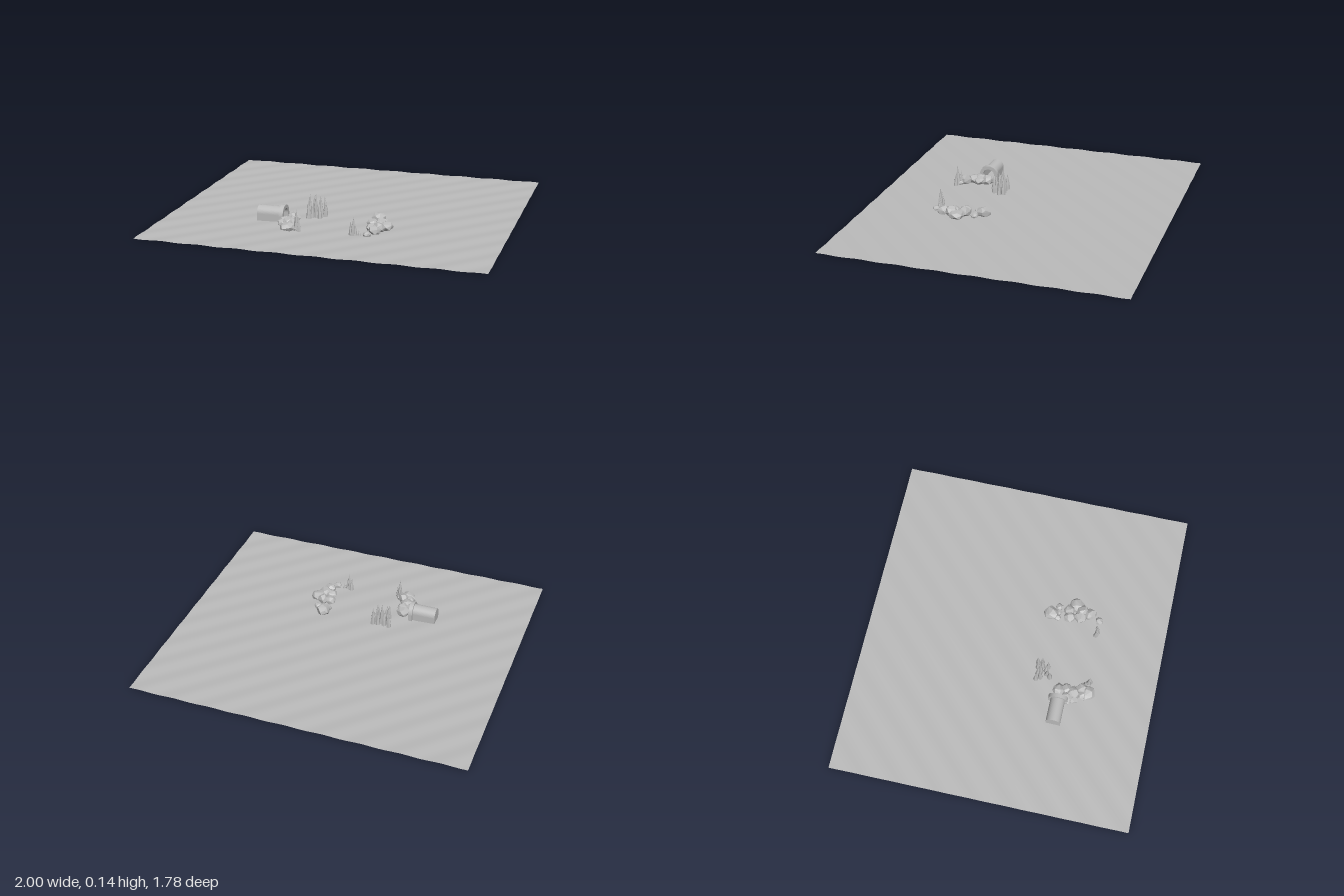
import * as THREE from 'three';
import { ConvexGeometry } from 'three/addons/geometries/ConvexGeometry.js';

const stone = new THREE.MeshStandardMaterial({ color: 0xbbbbbb, flatShading: true, side: THREE.DoubleSide });
stone.name = 'grey stone';
const smooth = new THREE.MeshStandardMaterial({ color: 0xbbbbbb, side: THREE.DoubleSide });
smooth.name = 'smooth grey';

let seed = 7;
function rand() {
  seed = (seed * 16807) % 2147483647;
  return seed / 2147483647;
}
const jitter = (a) => (rand() - 0.5) * 2 * a;

function add(parent, name, geometry, material = stone) {
  const mesh = new THREE.Mesh(geometry, material);
  mesh.name = name;
  parent.add(mesh);
  return mesh;
}

function group(parent, name) {
  const g = new THREE.Group();
  g.name = name;
  parent.add(g);
  return g;
}

// Gently rippled ground sheet
function makeGround() {
  const geo = new THREE.PlaneGeometry(2, 1.78, 72, 64);
  geo.rotateX(-Math.PI / 2);
  const p = geo.attributes.position;
  for (let i = 0; i < p.count; i++) {
    p.setY(i, 0.005 + 0.002 * Math.sin((p.getX(i) + p.getZ(i)) * 28));
  }
  geo.computeVertexNormals();
  return geo;
}

// Angular boulder, flattened where it meets the ground
function rock(parent, [x, z, r, h]) {
  const points = [];
  const n = 18;
  const turn = rand() * 6;
  for (let i = 0; i < n; i++) {
    const v = 1 - (2 * (i + 0.5)) / n;
    const a = turn + i * 2.4 + jitter(0.35);
    const s = Math.sqrt(1 - v * v) * r * (1.02 + jitter(0.1));
    const y = Math.max(0.002, h * (0.42 + 0.58 * v));
    points.push(new THREE.Vector3(Math.cos(a) * s, y, Math.sin(a) * s));
  }
  add(parent, 'rock', new ConvexGeometry(points)).position.set(x, 0, z);
}

// Leaning spike with a faceted, swollen foot
function spike(parent, [x, z, r, h]) {
  const geo = new THREE.CylinderGeometry(0.0005, r, h, 6, 3);
  geo.translate(0, h / 2, 0);
  const p = geo.attributes.position;
  const lx = jitter(0.006), lz = jitter(0.006);
  for (let i = 0; i < p.count; i++) {
    const t = p.getY(i) / h;
    const k = 1 + 0.12 * Math.sin(t * Math.PI);
    p.setXYZ(i, p.getX(i) * k + lx * t * t, p.getY(i), p.getZ(i) * k + lz * t * t);
  }
  geo.rotateY(rand() * 3);
  geo.computeVertexNormals();
  add(parent, 'spike', geo).position.set(x, 0.002, z);
}

// Arch outline: straight walls under a half-round top
function arch(path, r, spring, base) {
  path.moveTo(-r, base);
  path.lineTo(r, base);
  path.lineTo(r, spring);
  path.absarc(0, spring, r, 0, Math.PI, false);
  path.lineTo(-r, base);
  return path;
}

function archBlock(r, inner, spring, depth) {
  const shape = arch(new THREE.Shape(), r, spring, 0.002);
  if (inner) shape.holes.push(arch(new THREE.Path(), inner, spring, 0.006));
  const geo = new THREE.ExtrudeGeometry(shape, { depth, bevelEnabled: false, curveSegments: 14 });
  return geo.rotateY(Math.PI / 2);
}

export function createModel() {
  const model = new THREE.Group();
  model.name = 'riverbedScene';
  add(model, 'ground', makeGround(), smooth);

  // Culvert with its raised rim and closed far end
  const culvert = group(model, 'culvert');
  culvert.position.z = 0.332;
  add(culvert, 'tunnel', archBlock(0.043, 0.036, 0.045, 0.145), stone).position.x = -0.45;
  add(culvert, 'tunnelEnd', archBlock(0.043, 0, 0.045, 0.01), stone).position.x = -0.46;
  add(culvert, 'rim', archBlock(0.058, 0.036, 0.042, 0.024), stone).position.x = -0.32;

  // Rock banks: x, z, radius, height
  const leftBank = group(model, 'leftRocks');
  [
    [-0.285, 0.38, 0.04, 0.05], [-0.25, 0.325, 0.04, 0.058], [-0.285, 0.42, 0.032, 0.04],
    [-0.235, 0.37, 0.034, 0.052], [-0.25, 0.41, 0.042, 0.055], [-0.21, 0.455, 0.034, 0.062],
    [-0.245, 0.47, 0.034, 0.045], [-0.23, 0.495, 0.044, 0.05], [-0.185, 0.48, 0.026, 0.035],
  ].forEach((r) => rock(leftBank, r));

  const rightBank = group(model, 'rightRocks');
  [
    [0.222, 0.18, 0.046, 0.055], [0.205, 0.222, 0.022, 0.03], [0.24, 0.225, 0.022, 0.03],
    [0.272, 0.222, 0.024, 0.035], [0.22, 0.295, 0.037, 0.05], [0.262, 0.285, 0.034, 0.06],
    [0.305, 0.32, 0.046, 0.048], [0.235, 0.36, 0.04, 0.045], [0.275, 0.365, 0.038, 0.058],
    [0.265, 0.415, 0.038, 0.052], [0.235, 0.475, 0.024, 0.032],
  ].forEach((r) => rock(rightBank, r));

  // Spiky plant clumps: x, z, radius, height
  const backClump = group(model, 'backSpikes');
  [
    [-0.205, 0.175, 0.016, 0.1], [-0.192, 0.2, 0.016, 0.135], [-0.172, 0.18, 0.016, 0.12],
    [-0.18, 0.255, 0.018, 0.1], [-0.165, 0.235, 0.016, 0.09], [-0.155, 0.195, 0.018, 0.14],
    [-0.145, 0.225, 0.016, 0.085], [-0.135, 0.175, 0.016, 0.11], [-0.122, 0.2, 0.018, 0.135],
    [-0.12, 0.235, 0.015, 0.1], [-0.105, 0.17, 0.016, 0.12], [-0.098, 0.195, 0.015, 0.09],
  ].forEach((s) => spike(backClump, s));

  const leftClump = group(model, 'leftSpikes');
  [
    [-0.175, 0.49, 0.018, 0.128], [-0.16, 0.5, 0.014, 0.085], [-0.185, 0.475, 0.015, 0.095],
  ].forEach((s) => spike(leftClump, s));

  const rightClump = group(model, 'rightSpikes');
  [
    [0.142, 0.472, 0.015, 0.08], [0.155, 0.478, 0.016, 0.11], [0.168, 0.48, 0.013, 0.07],
    [0.19, 0.472, 0.01, 0.035],
  ].forEach((s) => spike(rightClump, s));

  return model;
}
